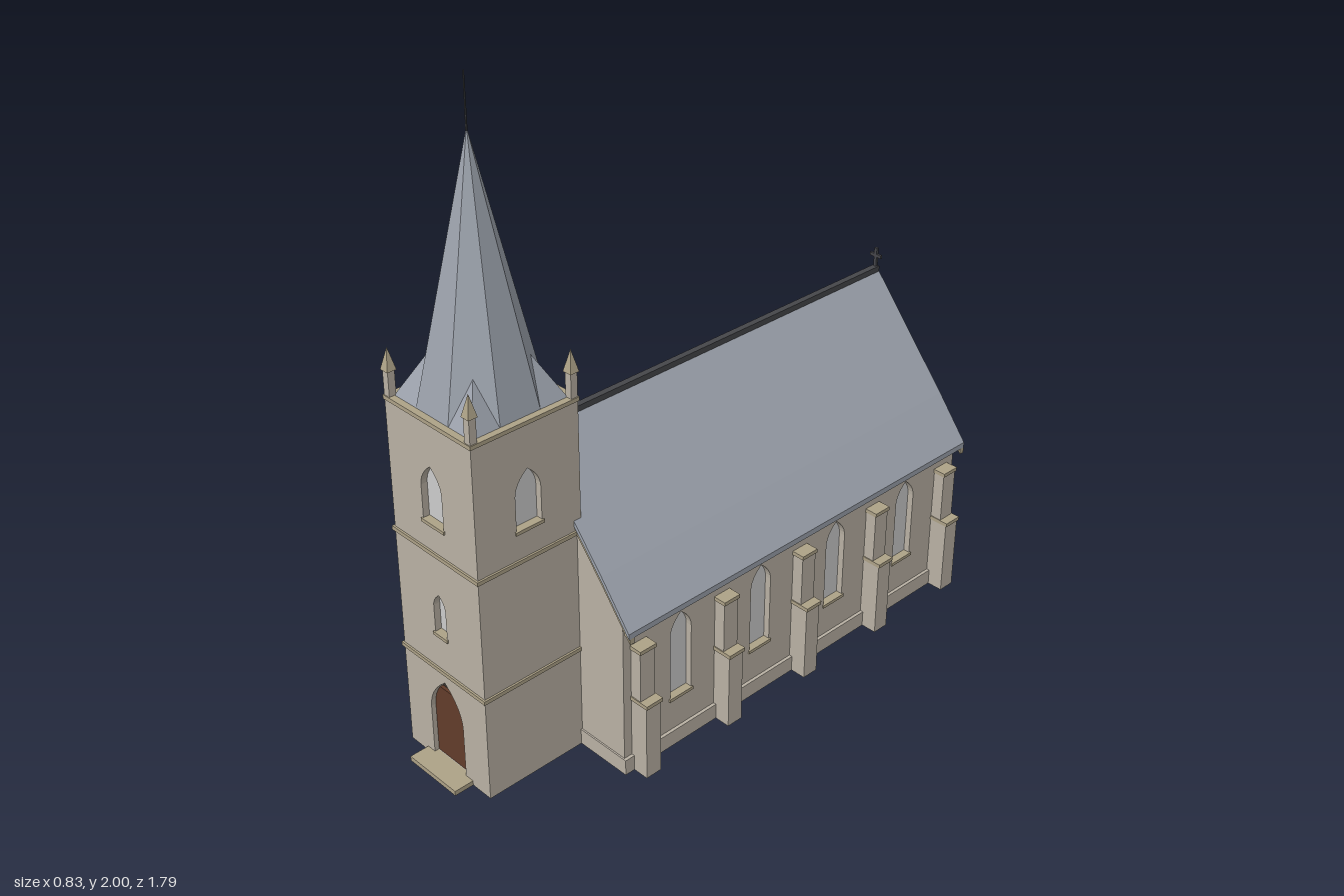
import * as THREE from 'three';

const mat = (color, side = THREE.FrontSide) =>
  new THREE.MeshStandardMaterial({ color, flatShading: true, side });
const stone = mat(0xb9b1a4), trim = mat(0xada287), slate = mat(0x9ba1ab), dark = mat(0x45464a);
const glass = mat(0xcccccc, THREE.DoubleSide);
const wood = mat(0x623c2a), shade = mat(0x3a342f, THREE.DoubleSide);
const T = 0.035; // wall thickness

function add(parent, name, geometry, material, x = 0, y = 0, z = 0) {
  const m = new THREE.Mesh(geometry, material);
  m.name = name;
  m.position.set(x, y, z);
  parent.add(m);
  return m;
}
const box = (w, h, d) => new THREE.BoxGeometry(w, h, d);
const extrude = (shape, depth) =>
  new THREE.ExtrudeGeometry(shape, { depth, bevelEnabled: false, curveSegments: 6 });
const polygon = (pts) => new THREE.Shape(pts.map(([x, y]) => new THREE.Vector2(x, y)));
const rect = (x0, x1, y0, y1) => polygon([[x0, y0], [x1, y0], [x1, y1], [x0, y1]]);

// Pointed arch outline
function lancet(Type, { x = 0, w, y0, y1 }) {
  const ys = y1 - w * 0.85, yc = ys + w * 0.45, p = new Type();
  p.moveTo(x - w / 2, y0);
  p.lineTo(x + w / 2, y0);
  p.lineTo(x + w / 2, ys);
  p.quadraticCurveTo(x + w / 2, yc, x, y1);
  p.quadraticCurveTo(x - w / 2, yc, x - w / 2, ys);
  p.lineTo(x - w / 2, y0);
  return p;
}

// Wall whose outer face lies `dist` from the parent's axis, turned by `angle`
function wall(parent, name, outline, openings, angle, dist) {
  const g = new THREE.Group();
  g.name = name;
  g.rotation.y = angle;
  parent.add(g);
  openings.forEach((o) => outline.holes.push(lancet(THREE.Path, o)));
  add(g, 'masonry', extrude(outline, T), stone, 0, 0, dist - T);
  for (const o of openings) {
    const pane = new THREE.ShapeGeometry(lancet(THREE.Shape, o), 6);
    if (o.door) {
      add(g, 'doorHead', pane, shade, 0, 0, dist - 0.025);
      add(g, 'door', box(o.w, 0.25 - o.y0, 0.01), wood, 0, (0.25 + o.y0) / 2, dist - 0.02);
    } else {
      add(g, 'windowPane', pane, glass, 0, 0, dist - 0.02);
      add(g, 'windowSill', box(o.w + 0.01, 0.01, 0.026), trim, o.x || 0, o.y0 - 0.004, dist - 0.008);
    }
  }
}

// Square or rectangular ring lying flat
function ring(w, d, t, h) {
  const s = rect(-w / 2, w / 2, -d / 2, d / 2);
  s.holes.push(rect(-w / 2 + t, w / 2 - t, -d / 2 + t, d / 2 - t));
  return extrude(s, h).rotateX(-Math.PI / 2);
}

function buildNave() {
  const nave = new THREE.Group(), W = 0.35, L = 0.695;
  nave.name = 'nave';
  nave.position.z = -0.195;

  // Gable ends and side walls
  const gable = () => polygon([[-W, 0], [W, 0], [W, 0.51], [0, 0.935], [-W, 0.51]]);
  wall(nave, 'frontGable', gable(), [], 0, L);
  wall(nave, 'backGable', gable(), [
    { x: -0.078, w: 0.052, y0: 0.18, y1: 0.43 },
    { x: 0, w: 0.052, y0: 0.18, y1: 0.48 },
    { x: 0.078, w: 0.052, y0: 0.18, y1: 0.43 },
  ], Math.PI, L);
  for (const s of [1, -1]) {
    const openings = [0.48, 0.163, -0.155, -0.47].map((z) => ({ x: -s * z, w: 0.08, y0: 0.16, y1: 0.44 }));
    wall(nave, 'sideWall', rect(-L + T, L - T, 0, 0.51), openings, s * Math.PI / 2, W);

    // Stepped buttresses with cap stones
    for (let i = 0; i < 5; i++) {
      const b = new THREE.Group();
      b.name = 'buttress';
      b.position.set(s * W, 0, 0.64 - i * 0.319);
      nave.add(b);
      add(b, 'lowerStage', box(0.06, 0.245, 0.054), stone, s * 0.03, 0.1225, 0);
      add(b, 'lowerCap', box(0.065, 0.012, 0.06), trim, s * 0.0325, 0.247, 0);
      add(b, 'upperStage', box(0.037, 0.17, 0.054), stone, s * 0.0185, 0.33, 0);
      add(b, 'upperCap', box(0.041, 0.012, 0.06), trim, s * 0.0205, 0.418, 0);
    }
    add(nave, 'gutter', box(0.018, 0.018, 1.4), trim, s * 0.372, 0.488, 0);
  }
  add(nave, 'plinth', ring(2 * W + 0.02, 2 * L + 0.01, 0.05, 0.05), stone);
  add(nave, 'floor', box(2 * W - 0.02, 0.01, 2 * L - 0.02), shade, 0, 0.02, 0);

  // Roof, steepening slightly at the eaves, with gable trim under it
  const top = [[0.385, 0.497], [0.28, 0.63], [0.19, 0.737], [0.1, 0.845], [0, 0.963]];
  const band = (hi, lo) => {
    const half = (d) => top.map(([x, y]) => [x, y - d]);
    const across = (d) => [...half(d), ...half(d).slice(0, -1).reverse().map(([x, y]) => [-x, y])];
    return polygon([...across(hi), ...across(lo).reverse()]);
  };
  add(nave, 'roof', extrude(band(0, 0.018), 1.405), slate, 0, 0, -0.7);
  for (const z of [-0.7, 0.685])
    add(nave, 'gableTrim', extrude(band(0.018, 0.036), 0.016), trim, 0, 0, z);
  add(nave, 'ridge', box(0.02, 0.018, 1.4), dark, 0, 0.96, 0);

  // Gable cross
  add(nave, 'crossPost', box(0.01, 0.07, 0.008), dark, 0, 0.995, -0.693);
  add(nave, 'crossArm', box(0.042, 0.01, 0.008), dark, 0, 1.005, -0.693);
  return nave;
}

// Octagonal spire with a corner pyramid on each diagonal face
function spireGeometry(a, y0, yTip, yBroach) {
  const e = a * Math.tan(Math.PI / 8), k = (yTip - yBroach) / (yTip - y0) * (a + e) / 2;
  const tip = [0, yTip, 0], v = [];
  for (let i = 0; i < 4; i++) {
    const c = Math.round(Math.cos(i * Math.PI / 2)), s = Math.round(Math.sin(i * Math.PI / 2));
    const turn = (x, y, z) => [x * c + z * s, y, z * c - x * s];
    const l = turn(-e, y0, a), r = turn(e, y0, a), n = turn(a, y0, e);
    const corner = turn(a, y0, a), peak = turn(k, yBroach, k);
    v.push(...l, ...r, ...tip, ...r, ...n, ...tip);
    v.push(...r, ...corner, ...peak, ...corner, ...n, ...peak);
  }
  const g = new THREE.BufferGeometry();
  g.setAttribute('position', new THREE.Float32BufferAttribute(v, 3));
  g.computeVertexNormals();
  return g;
}

function buildTower() {
  const tower = new THREE.Group(), R = 0.175, H = 1.12;
  tower.name = 'tower';
  tower.position.z = 0.66;

  // Four walls with belfry windows; the front also has the door
  for (let i = 0; i < 4; i++) {
    const w = i % 2 ? R - T : R;
    const openings = [{ w: 0.085, y0: 0.81, y1: 0.985 }];
    if (i === 0) openings.push({ w: 0.05, y0: 0.455, y1: 0.585 }, { w: 0.14, y0: 0.015, y1: 0.295, door: true });
    wall(tower, 'towerWall', rect(-w, w, 0, H), openings, i * Math.PI / 2, R);
  }
  for (const y of [0.327, 0.71])
    add(tower, 'stringCourse', ring(2 * R + 0.012, 2 * R + 0.012, T, 0.012), trim, 0, y, 0);
  add(tower, 'parapet', ring(2 * R + 0.006, 2 * R + 0.006, 0.02, 0.012), trim, 0, H - 0.008, 0);
  add(tower, 'towerDeck', box(2 * R - 0.01, 0.015, 2 * R - 0.01), stone, 0, H - 0.01, 0);

  // Corner pinnacles
  for (const x of [-1, 1]) for (const z of [-1, 1]) {
    add(tower, 'pinnacleShaft', box(0.022, 0.08, 0.022), stone, x * 0.164, H + 0.04, z * 0.164);
    add(tower, 'pinnacleCap', new THREE.ConeGeometry(0.021, 0.065, 4).rotateY(Math.PI / 4), trim,
      x * 0.164, H + 0.11, z * 0.164);
  }
  add(tower, 'spire', spireGeometry(0.158, H, 1.86, 1.245), slate);
  add(tower, 'finialRod', new THREE.CylinderGeometry(0.002, 0.003, 0.16, 6), dark, 0, 1.92, 0);
  add(tower, 'doorStep', box(0.2, 0.015, 0.075), trim, 0, 0.0075, 0.2);
  return tower;
}

export function createModel() {
  const church = new THREE.Group();
  church.name = 'church';
  church.add(buildNave(), buildTower());
  return church;
}
